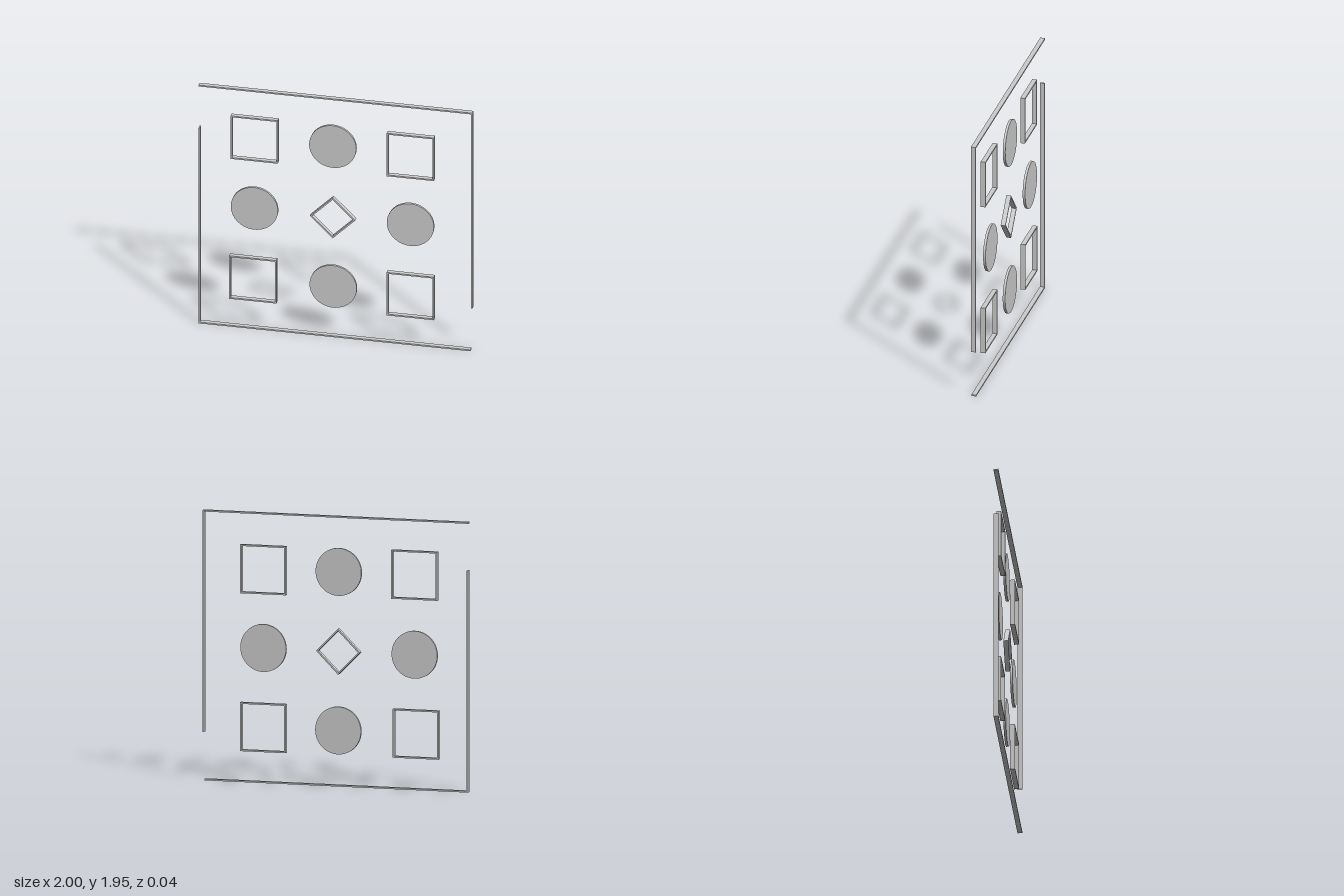
import * as THREE from 'three';

const DEPTH = 0.035, WALL = 0.011;

export function createModel() {
  const group = new THREE.Group();
  const material = new THREE.MeshStandardMaterial({ color: 0xcccccc });

  const add = (name, geometry, x, y, z = 0) => {
    const mesh = new THREE.Mesh(geometry, material);
    mesh.name = name;
    mesh.position.set(x, y, z);
    group.add(mesh);
    return mesh;
  };
  const polygon = (points) => points.map(([x, y]) => new THREE.Vector2(x, y));
  const extrude = (shape) =>
    new THREE.ExtrudeGeometry(shape, { depth: DEPTH, bevelEnabled: false }).translate(0, 0, -DEPTH / 2);
  const rectangle = (w, h) => polygon([[-w / 2, -h / 2], [w / 2, -h / 2], [w / 2, h / 2], [-w / 2, h / 2]]);

  // Thin hollow rectangular frame
  const frame = (name, x, y, w, h) => {
    const shape = new THREE.Shape(rectangle(w, h));
    shape.holes.push(new THREE.Path(rectangle(w - 2 * WALL, h - 2 * WALL)));
    return add(name, extrude(shape), x, y);
  };

  // Two L-shaped outer walls, leaving openings at opposite corners
  add('upperWall', extrude(new THREE.Shape(polygon([
    [-1, 1.95], [-1, 1.95 - WALL], [1 - WALL, 1.95 - WALL], [1 - WALL, 0.35], [1, 0.35], [1, 1.95],
  ]))), 0, 0);
  add('lowerWall', extrude(new THREE.Shape(polygon([
    [-1, 0], [0.985, 0], [0.985, WALL], [-1 + WALL, WALL], [-1 + WALL, 1.6], [-1, 1.6],
  ]))), 0, 0);

  // Square frames near the four corners
  for (const [name, x, y] of [
    ['upperRightFrame', -0.594, 1.549],
    ['upperLeftFrame', 0.546, 1.538],
    ['lowerRightFrame', -0.604, 0.403],
    ['lowerLeftFrame', 0.546, 0.399],
  ]) frame(name, x, y, 0.345, 0.352);

  // Diamond frame in the middle
  frame('centreDiamond', -0.021, 0.973, 0.234, 0.234).rotation.z = Math.PI / 4;

  // Solid discs between the frames, set toward the back
  const disc = new THREE.CylinderGeometry(0.172, 0.172, 0.018, 64).rotateX(Math.PI / 2);
  for (const [name, x, y] of [
    ['upperDisc', -0.024, 1.548],
    ['rightDisc', -0.596, 0.976],
    ['leftDisc', 0.543, 0.974],
    ['lowerDisc', -0.021, 0.404],
  ]) add(name, disc, x, y, -0.0085);

  return group;
}
